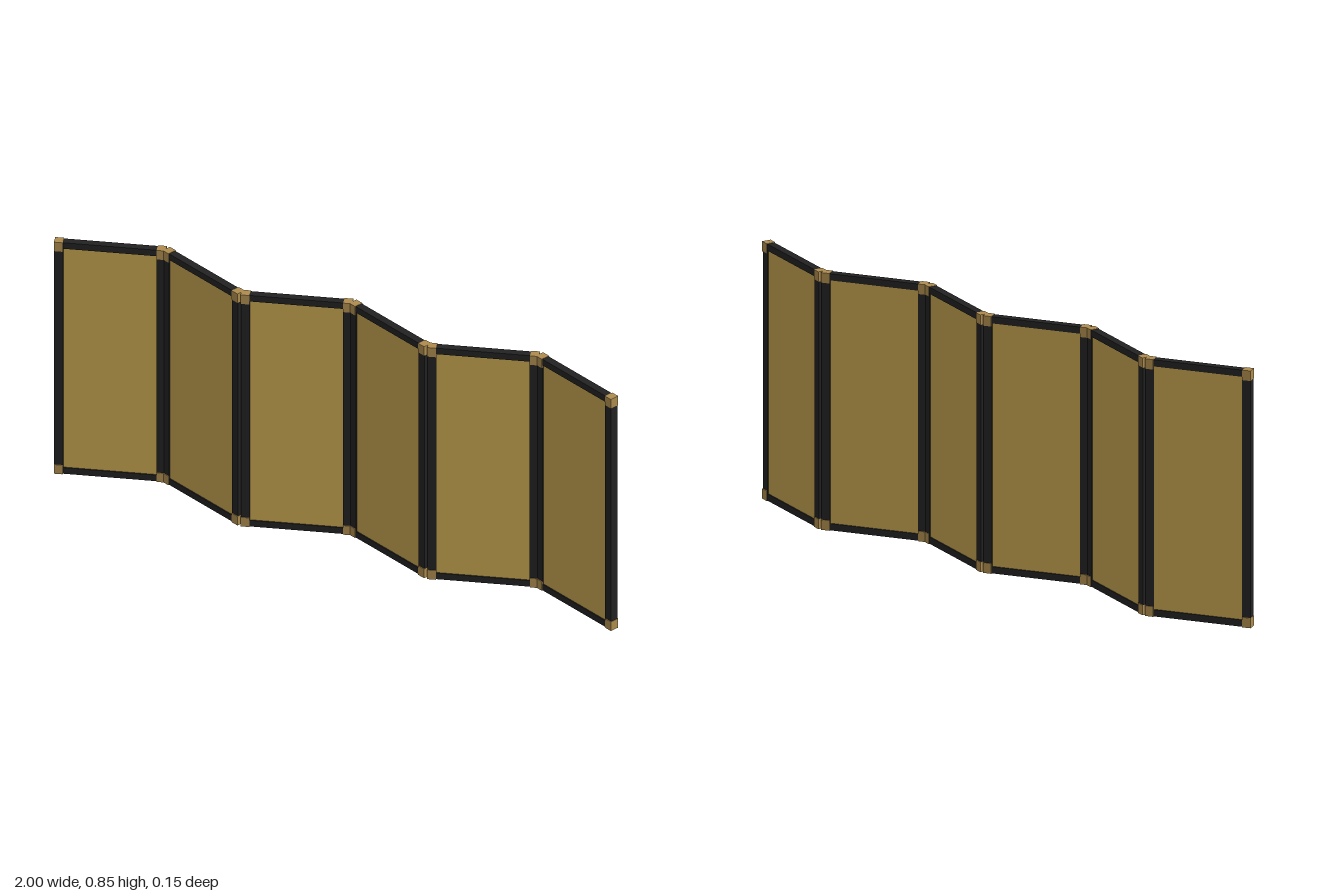
import * as THREE from 'three';

const COUNT = 6, HEIGHT = 0.845, PITCH = 0.3315, SWING = 0.119;
const LENGTH = Math.hypot(PITCH, SWING);
const ANGLE = Math.atan2(SWING, PITCH);
const STILE = 0.028, RAIL = 0.022, FRAME_DEPTH = 0.026;
const CORNER_HEIGHT = 0.033, CORNER_DEPTH = 0.031, PROUD = 0.001;

function material(name, color) {
  const m = new THREE.MeshStandardMaterial({ color });
  m.name = name;
  return m;
}

export function createModel() {
  const gold = material('gold panel', 0xc4a24f);
  const black = material('black lacquer', 0x222222);
  const brass = material('brass fitting', 0xae8c4e);

  function box(parent, name, mat, size, x, y) {
    const mesh = new THREE.Mesh(new THREE.BoxGeometry(...size), mat);
    mesh.name = name;
    mesh.position.set(x, y, 0);
    parent.add(mesh);
  }

  // One framed leaf, standing on y = 0 and centred on x
  function createLeaf() {
    const leaf = new THREE.Group();
    box(leaf, 'panel', gold,
      [LENGTH - STILE * 2 + 0.006, HEIGHT - RAIL * 2 + 0.006, 0.018], 0, HEIGHT / 2);

    for (const s of [-1, 1]) {
      // Uprights and rails
      box(leaf, 'stile', black, [STILE, HEIGHT - PROUD * 2, FRAME_DEPTH],
        s * (LENGTH / 2 - STILE / 2 - PROUD), HEIGHT / 2);
      box(leaf, s < 0 ? 'bottomRail' : 'topRail', black,
        [LENGTH - STILE * 2, RAIL, FRAME_DEPTH],
        0, HEIGHT / 2 + s * (HEIGHT / 2 - RAIL / 2 - PROUD));

      // Corner fittings wrap the frame and stand slightly proud
      for (const t of [-1, 1]) {
        box(leaf, 'cornerFitting', brass, [STILE, CORNER_HEIGHT, CORNER_DEPTH],
          s * (LENGTH / 2 - STILE / 2),
          HEIGHT / 2 + t * (HEIGHT / 2 - CORNER_HEIGHT / 2));
      }
    }
    return leaf;
  }

  // Zigzag row of leaves
  const screen = new THREE.Group();
  screen.name = 'foldingScreen';
  for (let i = 0; i < COUNT; i++) {
    const leaf = createLeaf();
    leaf.name = 'leaf' + (i + 1);
    leaf.position.x = (i - (COUNT - 1) / 2) * PITCH;
    leaf.rotation.y = i % 2 === 0 ? ANGLE : -ANGLE;
    screen.add(leaf);
  }
  return screen;
}
